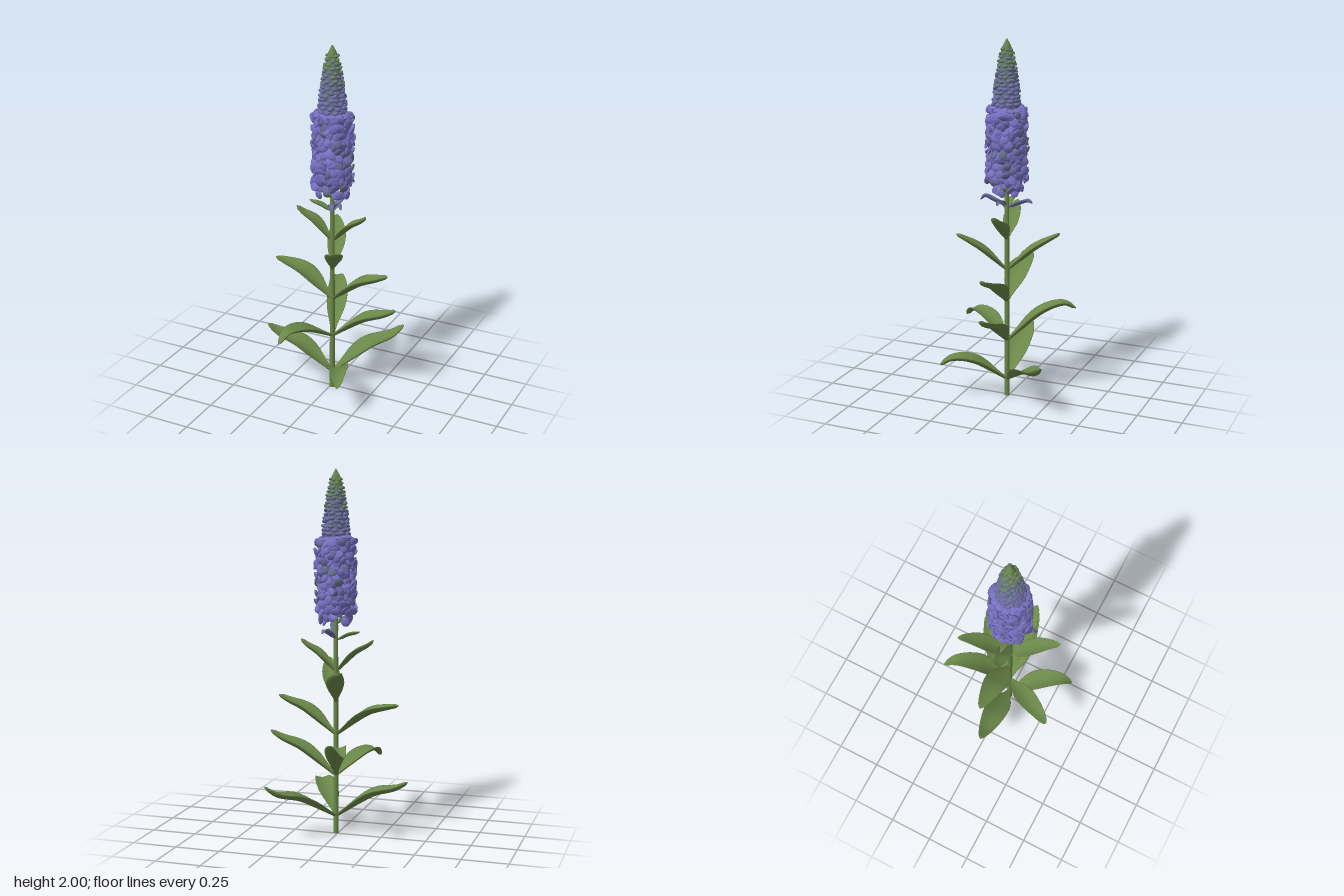
import * as THREE from 'three';
import { mergeGeometries } from 'three/addons/utils/BufferGeometryUtils.js';

const CX = 0.013, CZ = 0.01; // stem axis

function seeded(seed) {
  return () => {
    seed = (seed * 1664525 + 1013904223) % 4294967296;
    return seed / 4294967296;
  };
}

function lerpTable(table, t) {
  for (let i = 1; i < table.length; i++) {
    const [a, va] = table[i - 1], [b, vb] = table[i];
    if (t <= b) return va + (vb - va) * (t - a) / (b - a);
  }
  return table[table.length - 1][1];
}

const LEAF_WIDTH = [[0, 0.17], [0.1, 0.3], [0.2, 0.55], [0.3, 0.8], [0.4, 0.96], [0.5, 1], [0.6, 0.95],
  [0.72, 0.8], [0.84, 0.58], [0.93, 0.38], [0.98, 0.23], [1, 0.07]];

// Closed, cupped blade swept along a curve from the stem to the tip
function leafGeometry([tx, tz], baseY, midY, lateY, tipY, half, bend = 0) {
  const side = new THREE.Vector3(-(tz - CZ), 0, tx - CX).normalize();
  const at = (f, y, shift) =>
    new THREE.Vector3(CX + (tx - CX) * f, y, CZ + (tz - CZ) * f).addScaledVector(side, shift);
  const curve = new THREE.CatmullRomCurve3(
    [at(0, baseY, 0), at(0.5, midY, bend), at(0.83, lateY, bend * 0.7), at(1, tipY, 0)]);
  const steps = 24, across = 8, ring = across * 2;
  const pos = [], index = [];
  for (let i = 0; i <= steps; i++) {
    const t = i / steps, p = curve.getPointAt(t), tangent = curve.getTangentAt(t);
    const up = side.clone().cross(tangent).normalize();
    const w = half * lerpTable(LEAF_WIDTH, t);
    for (let j = 0; j < ring; j++) {
      const a = j / ring * Math.PI * 2, u = Math.cos(a);
      const lift = w * 0.45 * (u * u - 0.45) + Math.sin(a) * Math.min(0.008, w * 0.6);
      const v = p.clone().addScaledVector(side, u * w).addScaledVector(up, lift);
      pos.push(v.x, v.y, v.z);
    }
  }
  for (let i = 0; i < steps; i++) for (let j = 0; j < ring; j++) {
    const a = i * ring + j, b = i * ring + (j + 1) % ring, c = a + ring, d = b + ring;
    index.push(a, b, c, b, d, c);
  }
  for (let j = 1; j < ring - 1; j++) {
    const e = steps * ring;
    index.push(0, j + 1, j, e, e + j, e + j + 1);
  }
  const g = new THREE.BufferGeometry();
  g.setAttribute('position', new THREE.Float32BufferAttribute(pos, 3));
  g.setIndex(index);
  g.computeVertexNormals();
  return g;
}

// Flattened pebble-like petal placed around the axis
function petal(angle, radius, y, size, tilt) {
  const g = new THREE.IcosahedronGeometry(1, 1);
  g.scale(...size);
  g.rotateZ(tilt[2]);
  g.rotateX(tilt[0]);
  g.rotateY(tilt[1]);
  g.translate(0, 0, radius);
  g.rotateY(angle);
  g.translate(CX, y, CZ);
  return g;
}

export function createModel() {
  const model = new THREE.Group();
  const mat = (name, color, extra = {}) =>
    Object.assign(new THREE.MeshStandardMaterial({ color, ...extra }), { name });
  const leafGreen = mat('leaf green', 0x6a8748, { side: THREE.DoubleSide });
  const budGreen = mat('bud green', 0x6a8450, { flatShading: true });
  const sage = mat('sage bud', 0x667a6c, { flatShading: true });
  const slate = mat('slate bud', 0x646f8a, { flatShading: true });
  const dusk = mat('dusk violet', 0x6c6ca2, { side: THREE.DoubleSide });
  const violet = mat('violet', 0x7670c0, { flatShading: true });
  const add = (name, geometry, material) => {
    const m = new THREE.Mesh(geometry, material);
    m.name = name;
    model.add(m);
  };

  // Stem
  const stem = new THREE.CylinderGeometry(0.012, 0.015, 1.3, 12);
  stem.translate(CX, 0.65, CZ);
  add('stem', stem, leafGreen);

  // Leaves: tip x/z, then base, middle, late and tip heights, half width, sideways bend
  const leaves = [
    [[-0.39, 0.025], 0.1, 0.24, 0.278, 0.315, 0.07],
    [[0.315, -0.303], 0.1, 0.228, 0.265, 0.315, 0.066, -0.008],
    [[0.2, 0.333], 0.1, 0.228, 0.24, 0.2, 0.06, -0.016],
    [[0.39, 0], 0.33, 0.475, 0.525, 0.56, 0.066],
    [[-0.14, -0.338], 0.33, 0.51, 0.55, 0.515, 0.058, 0.022],
    [[-0.155, 0.33], 0.33, 0.425, 0.435, 0.385, 0.056, 0.01],
    [[-0.34, 0.005], 0.56, 0.695, 0.728, 0.74, 0.068],
    [[0.345, 0.015], 0.56, 0.692, 0.737, 0.762, 0.066],
    [[-0.092, -0.258], 0.74, 0.867, 0.922, 0.945, 0.05, 0.014],
    [[0.13, 0.258], 0.74, 0.867, 0.922, 0.945, 0.05, -0.01],
    [[-0.192, 0.03], 0.91, 1.018, 1.057, 1.085, 0.046],
    [[0.21, 0.005], 0.91, 1.012, 1.052, 1.08, 0.046],
    [[-0.12, 0.02], 1.08, 1.115, 1.125, 1.13, 0.02],
  ];
  leaves.forEach((l, i) => add(`leaf${i + 1}`, leafGeometry(...l), leafGreen));

  // Stray lowest florets below the spike
  add('lowFloretBack', leafGeometry([0.04, -0.15], 1.09, 1.13, 1.148, 1.135, 0.022), dusk);
  add('lowFloretFront', leafGeometry([0.072, 0.14], 1.1, 1.14, 1.16, 1.135, 0.023), dusk);
  add('lowFloretSide', leafGeometry([0.08, 0.04], 1.08, 1.13, 1.13, 1.11, 0.02), slate);

  // Open blossom: crowded petals around a core
  const rand = seeded(7);
  const jitter = (s) => (rand() - 0.5) * 2 * s;
  const core = new THREE.CylinderGeometry(0.088, 0.085, 0.39, 16, 8);
  core.translate(CX, 1.435, CZ);
  add('blossomCore', core, dusk);
  const petals = [], duskPetals = [], sagePetals = [], calyxes = [];
  for (let row = 0; row < 17; row++) for (let k = 0; k < 13; k++) {
    const y = 1.245 + row * 0.0232 + jitter(0.01);
    const angle = (k + (row % 2) / 2) / 13 * Math.PI * 2 + jitter(0.15);
    const size = [0.021 + rand() * 0.012, 0.018 + rand() * 0.01, 0.009];
    const pick = rand();
    const list = pick < 0.07 ? duskPetals : pick < 0.1 ? sagePetals : petals;
    list.push(petal(angle, 0.09 + rand() * 0.018, y, size, [jitter(0.6), jitter(0.6), jitter(1.5)]));
  }
  // Flat petals closing the shoulder of the blossom
  for (let k = 0; k < 14; k++)
    petals.push(petal(k / 14 * Math.PI * 2, 0.082, 1.635 + jitter(0.008), [0.024, 0.022, 0.008],
      [-1.25 + jitter(0.3), jitter(0.3), jitter(1)]));
  // Ragged lower fringe
  for (let k = 0; k < 24; k++) {
    const angle = k * 2.4, y = 1.185 + rand() * 0.055;
    petals.push(petal(angle, 0.06 + rand() * 0.035, y, [0.022, 0.025, 0.009],
      [jitter(0.7), jitter(0.7), jitter(1)]));
    if (k % 3 === 0) calyxes.push(petal(angle + 0.5, 0.04, y, [0.01, 0.012, 0.035], [-0.4, 0, 0]));
  }
  add('blossomPetals', mergeGeometries(petals), violet);
  add('shadedPetals', mergeGeometries(duskPetals), dusk);
  add('fadedPetals', mergeGeometries(sagePetals), slate);
  add('calyxes', mergeGeometries(calyxes), budGreen);

  // Tapering bud tip with rings of closed buds, violet fading to green
  const RADIUS = [[1.63, 0.074], [1.72, 0.066], [1.8, 0.056], [1.9, 0.041], [1.96, 0.026], [2, 0.003]];
  const profile = (from, to) => {
    const pts = [];
    for (let i = 0; i <= 8; i++) {
      const y = from + (to - from) * i / 8;
      pts.push(new THREE.Vector2(lerpTable(RADIUS, y) * 0.9, y));
    }
    return new THREE.LatheGeometry(pts, 14).translate(CX, 0, CZ);
  };
  add('budCore', profile(1.63, 1.84), slate);
  add('budCoreUpper', profile(1.84, 1.93), sage);
  add('budTip', profile(1.93, 2), budGreen);
  const budKinds = [
    { name: 'duskBuds', material: dusk, limit: 0.28, list: [] },
    { name: 'slateBuds', material: slate, limit: 0.6, list: [] },
    { name: 'sageBuds', material: sage, limit: 0.9, list: [] },
    { name: 'greenBuds', material: budGreen, limit: Infinity, list: [] },
  ];
  for (let row = 0; row < 15; row++) {
    const y = 1.658 + row * 0.0205, r = lerpTable(RADIUS, y);
    const count = Math.max(6, Math.round(r * 150));
    for (let k = 0; k < count; k++) {
      const angle = (k + (row % 2) / 2) / count * Math.PI * 2 + jitter(0.15);
      const shade = row / 15 + jitter(0.25), s = 0.006 + r * 0.13;
      budKinds.find((b) => shade < b.limit).list.push(petal(angle, r * (0.88 + rand() * 0.1), y + jitter(0.005),
        [s * 1.3, s * 0.75, s], [0.3 + jitter(0.4), 0, jitter(0.5)]));
    }
  }
  budKinds.forEach((b) => add(b.name, mergeGeometries(b.list), b.material));
  return model;
}
